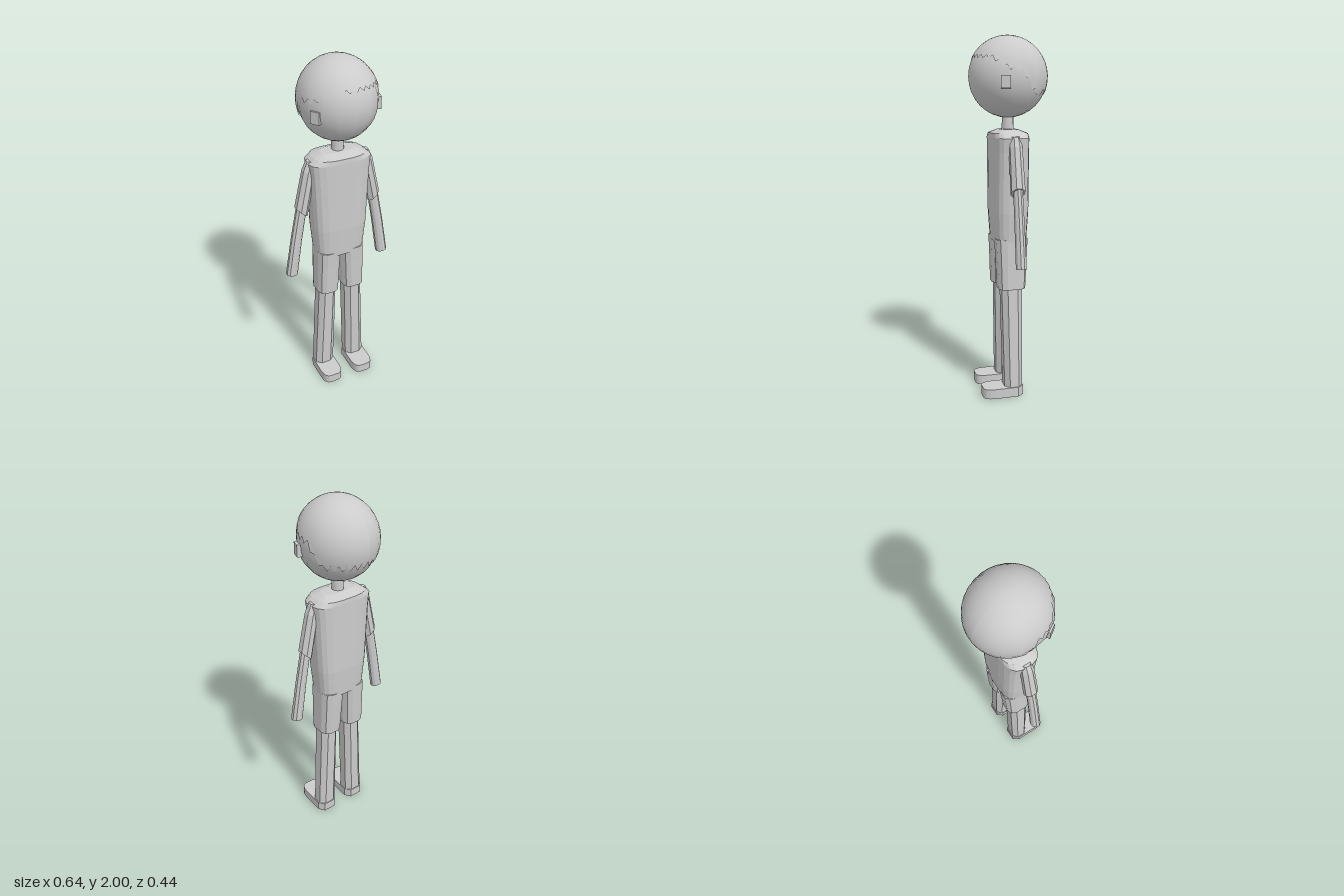
import * as THREE from 'three';

const flat = new THREE.MeshStandardMaterial({ color: 0xcccccc, flatShading: true });
const smooth = new THREE.MeshStandardMaterial({ color: 0xcccccc });
const thin = new THREE.MeshStandardMaterial({ color: 0xcccccc, side: THREE.DoubleSide });

function add(parent, name, geometry, material = flat) {
  const mesh = new THREE.Mesh(geometry, material);
  mesh.name = name;
  parent.add(mesh);
  return mesh;
}

// Closed body through rings listed bottom to top: [y, cx, cz, rx, rz, tilt].
// Power 2 gives ellipses, higher powers give squarer sections.
function loft(rings, sides, power = 2, s = 1) {
  const pos = [], index = [];
  const bend = (v) => Math.sign(v) * Math.pow(Math.abs(v), 2 / power);
  for (const [y, cx, cz, rx, rz, tilt = 0] of rings) {
    for (let j = 0; j < sides; j++) {
      const a = ((j + 0.5) / sides) * Math.PI * 2;
      const c = bend(Math.cos(a));
      pos.push(s * cx + rx * c, y + s * tilt * c, cz + rz * bend(Math.sin(a)));
    }
  }
  const last = (rings.length - 1) * sides, bottom = rings.length * sides;
  for (const [y, cx, cz] of [rings[0], rings[rings.length - 1]]) pos.push(s * cx, y, cz);
  for (let j = 0; j < sides; j++) {
    const k = (j + 1) % sides;
    for (let i = 0; i < last; i += sides) {
      index.push(i + j, i + sides + j, i + k, i + k, i + sides + j, i + sides + k);
    }
    index.push(bottom, j, k, bottom + 1, last + k, last + j);
  }
  const g = new THREE.BufferGeometry();
  g.setAttribute('position', new THREE.Float32BufferAttribute(pos, 3));
  g.setIndex(index);
  g.computeVertexNormals();
  return g;
}

// Thin cap over the skull whose lower edge follows the hairline
function hairGeometry() {
  // [angle from the front in degrees, hairline height above the head centre]
  const line = [[0, 0.095], [45, 0.085], [68, 0.03], [90, 0.02], [112, -0.1], [180, -0.1]];
  const g = new THREE.SphereGeometry(1, 32, 12);
  const p = g.attributes.position, uv = g.attributes.uv, R = 0.221;
  for (let i = 0; i < p.count; i++) {
    const a = uv.getX(i) * Math.PI * 2 - Math.PI;
    const deg = Math.abs(a) * 180 / Math.PI;
    let k = 0;
    while (k < line.length - 2 && deg > line[k + 1][0]) k++;
    const [a0, h0] = line[k], [a1, h1] = line[k + 1];
    const edge = Math.acos((h0 + (h1 - h0) * (deg - a0) / (a1 - a0)) / R);
    const t = (1 - uv.getY(i)) * edge;
    p.setXYZ(i, R * Math.sin(t) * Math.sin(a), R * Math.cos(t), R * Math.sin(t) * Math.cos(a));
  }
  g.computeVertexNormals();
  return g;
}

// Shoe: rounded sole outline pulled up to the given height
function shoeGeometry() {
  const w = 0.0625, back = -0.055, front = 0.175;
  const sh = new THREE.Shape();
  sh.moveTo(-w * 0.6, -back);
  sh.lineTo(-w, -back - 0.035);
  sh.lineTo(-w, -front + 0.06);
  sh.quadraticCurveTo(-w * 0.95, -front, -w * 0.35, -front);
  sh.lineTo(w * 0.35, -front);
  sh.quadraticCurveTo(w * 0.95, -front, w, -front + 0.06);
  sh.lineTo(w, -back - 0.035);
  sh.lineTo(w * 0.6, -back);
  const g = new THREE.ExtrudeGeometry(sh, { depth: 0.055, bevelEnabled: false, curveSegments: 4 });
  return g.rotateX(-Math.PI / 2);
}

export function createModel() {
  const model = new THREE.Group();
  model.name = 'standingBoy';

  // Head, turned slightly to its left
  const head = new THREE.Group();
  head.name = 'head';
  head.position.y = 1.78;
  model.add(head);
  add(head, 'skull', new THREE.SphereGeometry(0.218, 16, 16), smooth).scale.x = 0.95;
  const hair = add(head, 'hair', hairGeometry(), thin);
  hair.scale.x = 0.95;
  hair.rotation.y = 0.14;
  for (const [name, x, z] of [['leftEar', 0.197, 0.06], ['rightEar', -0.168, 0.112]]) {
    const ear = add(head, name, new THREE.BoxGeometry(0.03, 0.065, 0.05));
    ear.position.set(x, -0.032, z);
    ear.rotation.y = x > 0 ? -Math.atan2(z, x) : Math.atan2(z, -x);
  }
  add(model, 'neck', new THREE.CylinderGeometry(0.032, 0.034, 0.12, 10), smooth).position.y = 1.53;

  // Shirt with sloping shoulders
  add(model, 'shirt', loft([
    [0.88, 0, 0, 0.139, 0.09],
    [1.05, 0, 0, 0.155, 0.1],
    [1.38, 0, 0, 0.17, 0.1],
    [1.455, 0, 0, 0.178, 0.1],
    [1.48, 0, 0, 0.145, 0.098],
    [1.5, 0, 0, 0.1, 0.045],
  ], 20, 3.2));

  for (const s of [1, -1]) {
    const side = s > 0 ? 'left' : 'right';

    // Sleeve and bare forearm
    add(model, side + 'Sleeve', loft([
      [1.17, 0.218, 0, 0.034, 0.041, 0.03],
      [1.4, 0.17, 0, 0.034, 0.037, 0.015],
      [1.465, 0.145, 0, 0.036, 0.03],
    ], 8, 2, s));
    add(model, side + 'Arm', loft([
      [0.775, 0.287, 0, 0.034, 0.03, 0.004],
      [1.0, 0.251, 0, 0.032, 0.028, 0.004],
      [1.25, 0.205, 0, 0.03, 0.026],
    ], 10, 2, s));

    // Trouser leg of the shorts, bare leg and shoe
    add(model, side + 'ShortsLeg', loft([
      [0.62, 0.08, 0.002, 0.065, 0.078],
      [0.8, 0.074, 0, 0.068, 0.086],
      [0.9, 0.07, 0, 0.07, 0.091],
    ], 12, 3, s));
    add(model, side + 'Leg', loft([
      [0.03, 0.103, 0, 0.062, 0.054],
      [0.66, 0.08, 0.004, 0.056, 0.062],
    ], 8, 2.5, s));
    add(model, side + 'Shoe', shoeGeometry()).position.x = s * 0.103;
  }
  return model;
}
